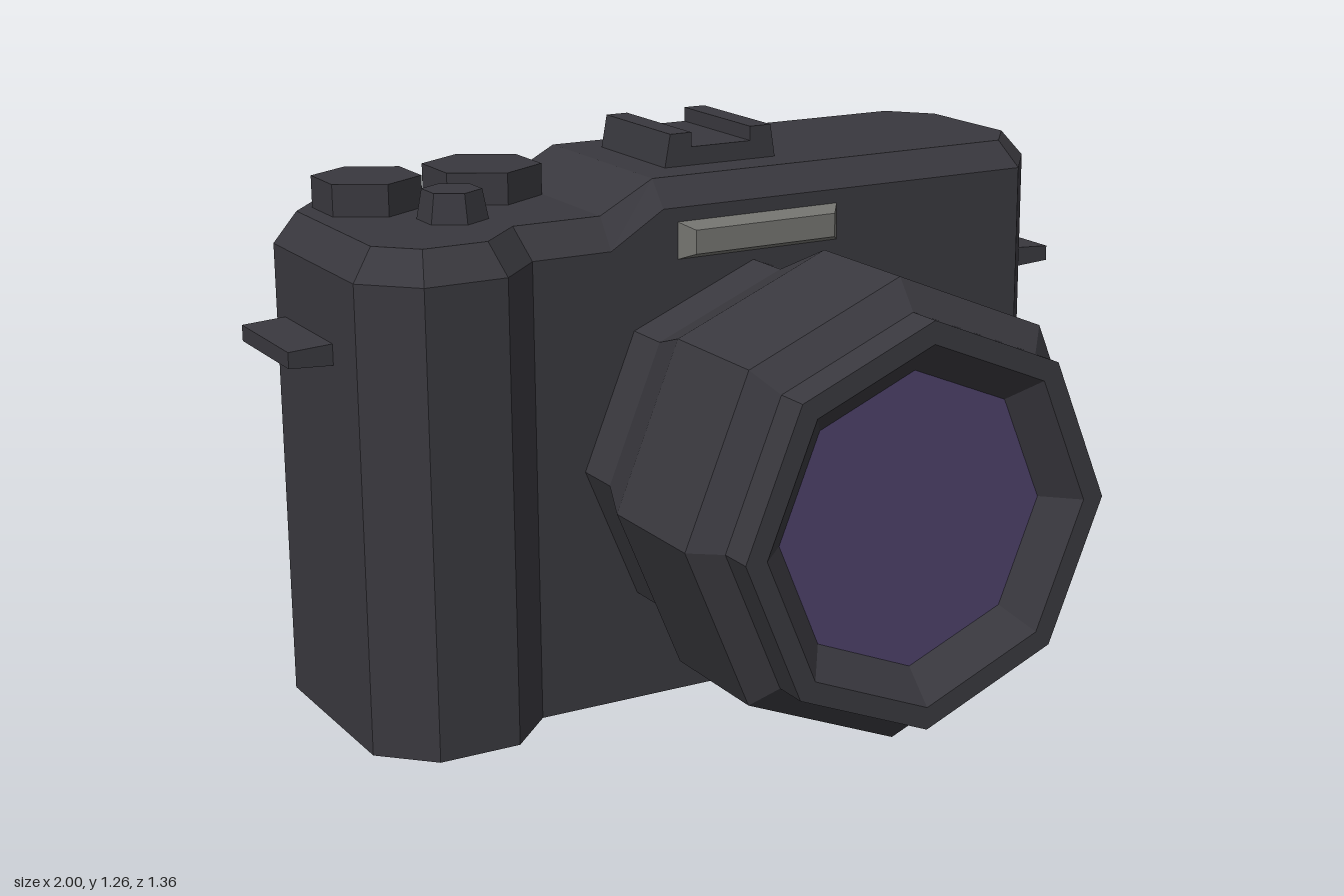
import * as THREE from 'three';

const mat = (name, color) => Object.assign(new THREE.MeshStandardMaterial({ color }), { name });

// Unshared corners give every facet its own normal
function facet(geometry) {
  const g = geometry.index ? geometry.toNonIndexed() : geometry;
  g.computeVertexNormals();
  return g;
}

function fromTriangles(points) {
  return facet(new THREE.BufferGeometry().setFromPoints(points));
}

// Triangles of a polygon, fanned from its first corner
function fan(ring) {
  const out = [];
  for (let i = 1; i < ring.length - 1; i++) out.push(ring[0], ring[i], ring[i + 1]);
  return out;
}

// Triangles joining consecutive rings; skip leaves out [level, edge]
function loft(rings, skip = [-1, -1]) {
  const out = [];
  for (let l = 0; l < rings.length - 1; l++) {
    const a = rings[l], b = rings[l + 1];
    for (let i = 0; i < a.length; i++) {
      if (l === skip[0] && i === skip[1]) continue;
      const j = (i + 1) % a.length;
      out.push(a[i], a[j], b[j], a[i], b[j], b[i]);
    }
  }
  return out;
}

// Moves a closed x-z outline inwards by d
function inset(outline, d) {
  const n = outline.length;
  const normal = (p, q) => new THREE.Vector2(p[1] - q[1], q[0] - p[0]).normalize();
  return outline.map((p, i) => {
    const n1 = normal(outline[(i + n - 1) % n], p);
    const n2 = normal(p, outline[(i + 1) % n]);
    const k = d / (1 + n1.dot(n2));
    return [p[0] - (n1.x + n2.x) * k, p[1] - (n1.y + n2.y) * k];
  });
}

// Rectangle with cut corners, running counterclockwise as seen from behind
function backRing(x0, x1, y0, y1, cut, z) {
  return [[x1 - cut, y0], [x0 + cut, y0], [x0, y0 + cut], [x0, y1 - cut],
    [x0 + cut, y1], [x1 - cut, y1], [x1, y1 - cut], [x1, y0 + cut]]
    .map(([x, y]) => new THREE.Vector3(x, y, z));
}

function bodyGeometry() {
  const outline = [[-0.9, -0.49], [-0.9, -0.035], [-0.79, 0.075], [-0.6, 0.075], [-0.49, -0.035],
    [-0.3, -0.035], [-0.17, -0.035], [0.79, -0.035], [0.9, -0.17], [0.9, -0.49],
    [0.79, -0.62], [-0.17, -0.62], [-0.3, -0.62], [-0.79, -0.62]];
  // The grip side is lower than the rest
  const ring = (pts, low, high) => pts.map(([x, z], i) =>
    new THREE.Vector3(x, outline[i][0] < -0.2 ? low : high, z));
  const base = ring(outline, 0, 0);
  const rim = ring(outline, 1.05, 1.13);
  const top = ring(inset(outline, 0.05), 1.12, 1.19);
  const pick = (r, ids) => ids.map(i => r[i]);

  // Side wall with a sunken panel
  const side = (x, z0, z1, y0, y1) => [[z0, y0], [z1, y0], [z1, y1], [z0, y1]]
    .map(([z, y]) => new THREE.Vector3(x, y, z));
  const panel = side(0.87, -0.255, -0.4, 0.42, 0.64);

  return fromTriangles([
    ...loft([base, rim, top], [0, 8]),
    ...fan(pick(top, [4, 5, 12, 13, 0, 1, 2, 3])),
    ...fan(pick(top, [5, 6, 11, 12])),
    ...fan(pick(top, [6, 7, 8, 9, 10, 11])),
    ...fan(pick(base, [4, 3, 2, 1, 0, 13, 10, 9, 8, 7])),
    ...loft([side(0.9, -0.17, -0.49, 0, 1.13), side(0.9, -0.21, -0.445, 0.365, 0.69), panel]),
    ...fan(panel),
  ]);
}

export function createModel() {
  const model = new THREE.Group();
  const casing = mat('charcoal casing', 0x39383e);
  const glassMat = mat('purple glass', 0x4d4069);
  const flashMat = mat('grey flash', 0x73736f);

  function add(name, geometry, material, x = 0, y = 0, z = 0) {
    const mesh = new THREE.Mesh(geometry, material);
    mesh.name = name;
    mesh.position.set(x, y, z);
    model.add(mesh);
    return mesh;
  }

  add('body', bodyGeometry(), casing);

  // Eight-sided lens barrel with a sunken front glass
  const profile = [[0.432, -0.05], [0.432, 0.08], [0.51, 0.26], [0.51, 0.55], [0.445, 0.6],
    [0.445, 0.68], [0.395, 0.68], [0.325, 0.61]].map(p => new THREE.Vector2(...p));
  add('lensBarrel', facet(new THREE.LatheGeometry(profile, 8).rotateX(Math.PI / 2)), casing, 0.06, 0.56);
  add('lensGlass', new THREE.CircleGeometry(0.326, 8), glassMat, 0.06, 0.56, 0.61);

  // Flash window: a shallow tapered block
  const flashRing = (w, h, z) => [[-w, -h], [w, -h], [w, h], [-w, h]]
    .map(([x, y]) => new THREE.Vector3(x, y, z));
  const flashFront = flashRing(0.18, 0.027, 0.035);
  add('flash', fromTriangles([...loft([flashRing(0.207, 0.042, 0), flashFront]), ...fan(flashFront)]),
    flashMat, 0.073, 1.056, -0.035);

  // Accessory shoe with two rails
  const shoe = new THREE.Shape([[-0.088, 1.18], [0.203, 1.18], [0.19, 1.265], [0.136, 1.265],
    [0.136, 1.232], [-0.018, 1.232], [-0.018, 1.265], [-0.072, 1.265]].map(p => new THREE.Vector2(...p)));
  add('accessoryShoe', facet(new THREE.ExtrudeGeometry(shoe, { depth: 0.305, bevelEnabled: false })),
    casing, 0, 0, -0.483);

  // Dials on the lower shoulder
  const hex = (rTop, rBottom, h) => facet(new THREE.CylinderGeometry(rTop, rBottom, h, 6));
  add('modeDial', hex(0.122, 0.122, 0.08), casing, -0.7, 1.152, -0.43);
  add('exposureDial', hex(0.135, 0.135, 0.08), casing, -0.42, 1.152, -0.43);
  add('shutterButton', hex(0.066, 0.08, 0.075), casing, -0.588, 1.149, -0.223);

  // Rear screen: raised frame around a sunken panel
  const screenRing = (d, cut, z) => backRing(-0.385 + d, 0.75 - d, 0.105 + d, 1.0 - d, cut, z);
  const screenPanel = screenRing(0.075, 0.045, -0.635);
  add('rearScreen', fromTriangles([
    ...loft([screenRing(0, 0.035, -0.615), screenRing(0.01, 0.035, -0.657),
      screenRing(0.05, 0.05, -0.657), screenPanel]),
    ...fan(screenPanel),
  ]), casing);

  // Rear buttons around a larger pad
  const rearHex = (r, depth) => hex(r, r, depth).rotateX(-Math.PI / 2);
  add('controlPad', rearHex(0.14, 0.08), casing, -0.578, 0.52, -0.638);
  for (const x of [-0.47, -0.7])
    for (const y of [0.785, 0.235]) add('rearButton', rearHex(0.065, 0.07), casing, x, y, -0.63);

  // Strap lugs, thinner towards the tip
  for (const s of [1, -1]) {
    const lug = new THREE.BoxGeometry(0.12, 0.05, 0.275);
    const p = lug.attributes.position;
    for (let i = 0; i < p.count; i++) if (p.getX(i) * s > 0) p.setY(i, p.getY(i) * 0.72);
    add(s > 0 ? 'leftStrapLug' : 'rightStrapLug', facet(lug), casing, s * 0.94, 0.87, s > 0 ? -0.328 : -0.303);
  }
  return model;
}
